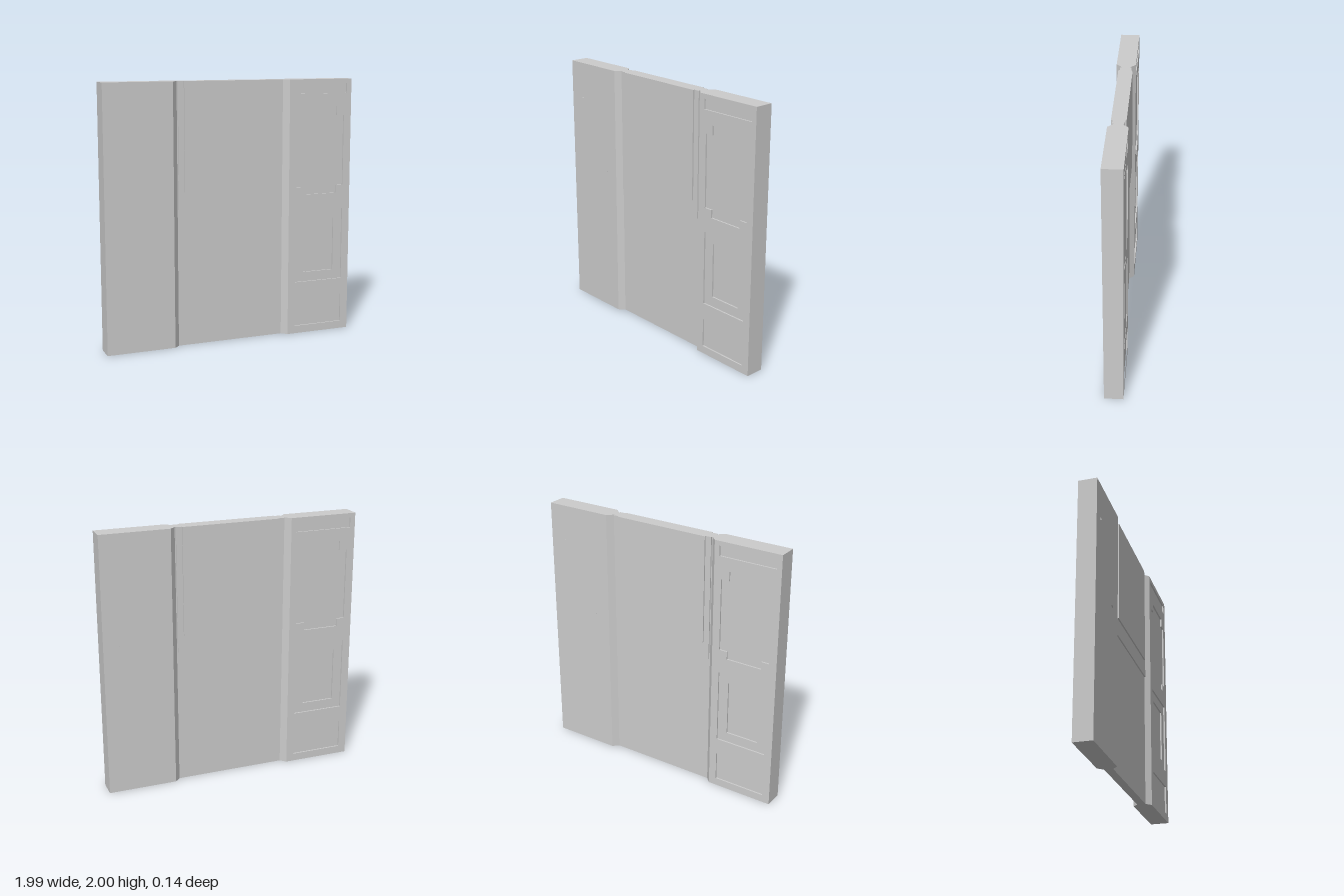
import * as THREE from 'three';

const HEIGHT = 2;
const HALF_WIDTH = 0.995;
const material = new THREE.MeshStandardMaterial({ color: 0xcccccc, flatShading: true });

function add(parent, name, geometry) {
  const mesh = new THREE.Mesh(geometry, material);
  mesh.name = name;
  parent.add(mesh);
  return mesh;
}

// Closed outline from [x, y] points, with x optionally mirrored
function outline(points, side, Type = THREE.Shape) {
  return new Type(points.map(([x, y]) => new THREE.Vector2(x * side, y)));
}

const rect = (x0, x1, y0, y1) => [[x0, y0], [x1, y0], [x1, y1], [x0, y1]];

// Outlines of the sunk panels on one pillar face
const headPanel = rect(0.508, 0.955, 1.89, 1.965);
const notchedPanel = [
  [0.592, 1.11], [0.873, 1.11], [0.873, 1.17], [0.934, 1.17], [0.934, 1.72], [0.873, 1.72],
  [0.873, 1.79], [0.592, 1.79], [0.592, 1.72], [0.527, 1.72], [0.527, 1.17], [0.592, 1.17],
];
const middlePanel = rect(0.527, 0.934, 0.415, 0.985);
const middleInset = rect(0.605, 0.863, 0.49, 0.91);
const footPanel = rect(0.527, 0.934, 0.06, 0.285);

// Flat sheet between z0 and z1 with cut-outs
function sheet(boundary, holes, side, z0, z1) {
  const shape = outline(boundary, side);
  shape.holes = holes.map((h) => outline(h, side, THREE.Path));
  return new THREE.ExtrudeGeometry(shape, { depth: z1 - z0, bevelEnabled: false }).translate(0, 0, z0);
}

// Pillar core with 45 degree chamfers on the inner edge, drawn in plan and extruded upward
function pillarCore(side) {
  const half = [[0.427, 0.032], [0.468, 0.072], [0.468, 0.048], [HALF_WIDTH, 0.048]];
  const mirrored = half.map(([x, z]) => [x, -z]).reverse();
  return new THREE.ExtrudeGeometry(outline([...half, ...mirrored], side), {
    depth: HEIGHT, bevelEnabled: false,
  }).rotateX(-Math.PI / 2);
}

// Box symmetric about z = 0, from y0 up to the top of the wall
function slab(halfWidth, halfDepth, y0) {
  return new THREE.BoxGeometry(halfWidth * 2, HEIGHT - y0, halfDepth * 2)
    .translate(0, (HEIGHT + y0) / 2, 0);
}

// Two stacked sheets per pillar give the two levels of panel recess
function createFace() {
  const face = new THREE.Group();
  const boundary = rect(0.468, HALF_WIDTH, 0, HEIGHT);
  for (const [label, side] of [['left', 1], ['right', -1]]) {
    add(face, `${label}PanelBacking`, sheet(boundary, [middleInset], side, 0.048, 0.06));
    add(face, `${label}PanelFrame`,
      sheet(boundary, [headPanel, notchedPanel, middlePanel, footPanel], side, 0.06, 0.072));
  }
  return face;
}

export function createModel() {
  const model = new THREE.Group();
  model.name = 'wallPanel';

  // Pillars
  add(model, 'leftPillar', pillarCore(1));
  add(model, 'rightPillar', pillarCore(-1));

  // Relief on both faces
  const front = createFace();
  front.name = 'frontRelief';
  const back = createFace();
  back.name = 'backRelief';
  back.rotation.y = Math.PI;
  model.add(front, back);

  // Stepped centre: thin lower wall, thicker upper plate, raised upper panel
  add(model, 'centreWall', slab(0.43, 0.032, 0));
  add(model, 'upperPlate', slab(0.42, 0.042, 1.05));
  add(model, 'raisedUpperPanel', slab(0.375, 0.053, 1.18));

  return model;
}
